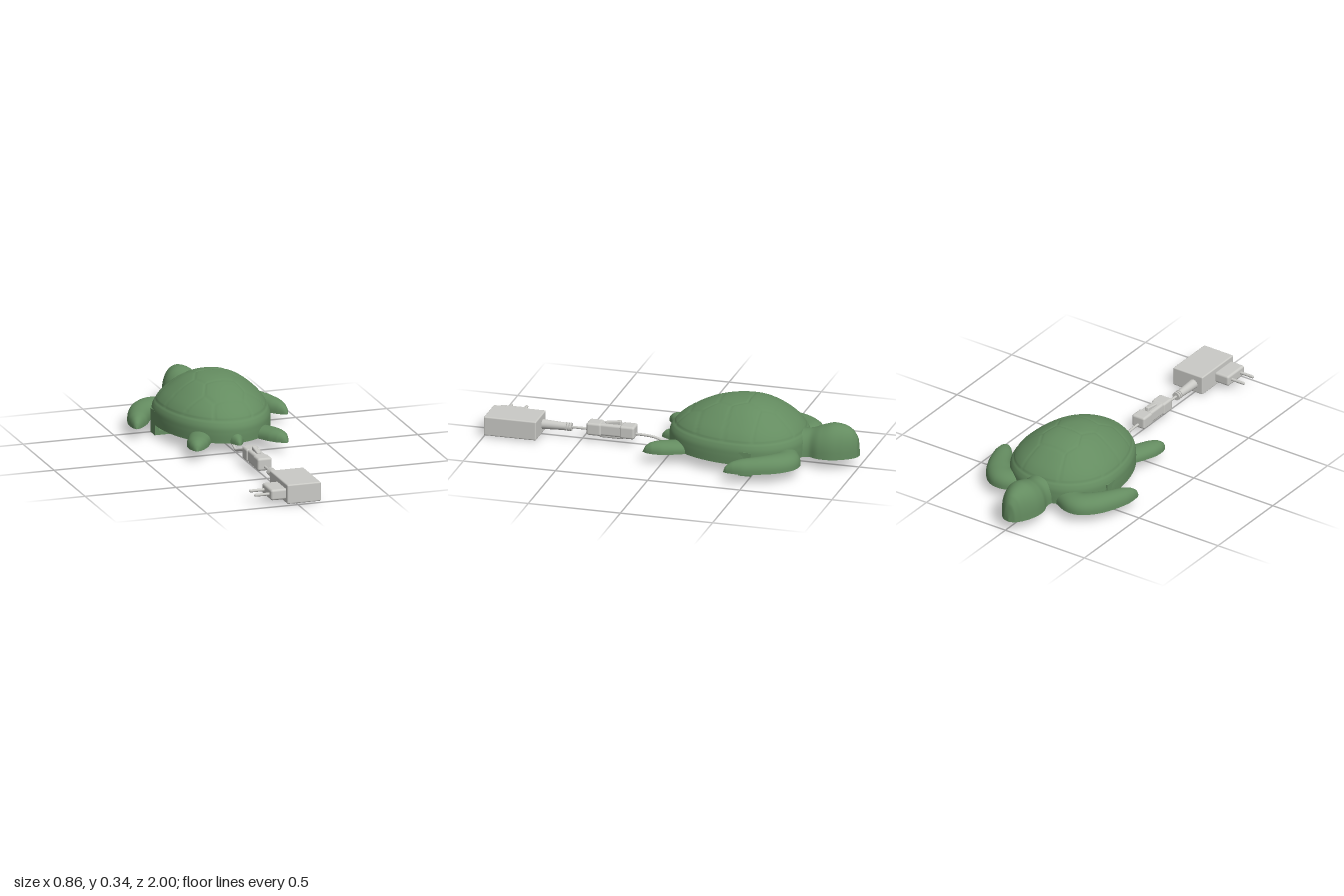
import * as THREE from 'three';
import { RoundedBoxGeometry } from 'three/addons/geometries/RoundedBoxGeometry.js';

const BASE = 0.06; // height of the open rim under the turtle

// Skin a grid of rings; wrap joins the end of each ring to its start
function skin(rings, wrap) {
  const n = rings[0].length, pos = [], idx = [];
  rings.forEach(r => r.forEach(p => pos.push(p[0], p[1], p[2])));
  for (let i = 0; i < rings.length - 1; i++)
    for (let j = 0; j < (wrap ? n : n - 1); j++) {
      const a = i * n + j, b = i * n + (j + 1) % n;
      idx.push(a, a + n, b, b, a + n, b + n);
    }
  const g = new THREE.BufferGeometry();
  g.setAttribute('position', new THREE.Float32BufferAttribute(pos, 3));
  g.setIndex(idx);
  g.computeVertexNormals();
  return g;
}

// Hollow limb: arched sections along a spine of [x, z, halfWidth, height]
function limb(stations, side = 1) {
  const spine = new THREE.CatmullRomCurve3(stations.map(s => new THREE.Vector3(s[0] * side, 0, s[1])), false, 'centripetal');
  const size = new THREE.CatmullRomCurve3(stations.map(s => new THREE.Vector3(s[2], s[3], 0)), false, 'centripetal');
  const rings = [], N = 48, A = 24;
  for (let i = 0; i <= N; i++) {
    const t = i / N, p = spine.getPoint(t), d = spine.getTangent(t), s = size.getPoint(t);
    const w = Math.max(s.x, 0), h = Math.max(s.y, 0), ring = [];
    for (let j = 0; j <= A; j++) {
      const a = Math.PI * j / A, c = Math.cos(a) * w;
      ring.push([p.x + d.z * c, BASE + h * Math.pow(Math.max(Math.sin(a), 0), 0.75), p.z - d.x * c]);
    }
    rings.push(side > 0 ? ring : ring.reverse());
  }
  return skin(rings, false);
}

// Egg-shaped dome with shallow grooves between the scutes
function shellGeometry() {
  const profile = new THREE.SplineCurve([
    [0, 0.338], [0.2, 0.333], [0.4, 0.314], [0.58, 0.284], [0.77, 0.238],
    [0.89, 0.198], [0.98, 0.15], [1, 0.11], [1, BASE],
  ].map(p => new THREE.Vector2(...p)));
  const seeds = [];
  for (const z of [-0.64, -0.5, -0.34, -0.18, -0.03]) seeds.push([0, z]);
  for (const z of [-0.58, -0.42, -0.26, -0.1]) seeds.push([0.19, z], [-0.19, z]);
  const rings = [], N = 72, A = 180;
  for (let i = 0; i <= N; i++) {
    const p = profile.getPoint(i / N), ring = [];
    const s = Math.max(p.x, 0);
    for (let j = 0; j < A; j++) {
      const a = j / A * Math.PI * 2, c = Math.cos(a), sn = Math.sin(a);
      const x = 0.3 * s * Math.sign(sn) * Math.pow(Math.abs(sn), c < 0 ? 0.9 : 1);
      const z = -0.43 + 0.03 * (1 - s) + s * c * (c > 0 ? 0.45 : 0.295);
      const d = seeds.map(q => Math.hypot(x - q[0], z - q[1])).sort((u, v) => u - v);
      const edge = p.y > 0.175 ? Math.min((d[1] - d[0]) / 2, Math.abs(p.y - 0.175)) : Math.abs(p.y - 0.175);
      const dip = 0.004 * Math.max(0, 1 - edge / 0.008);
      const k = 1 - dip * s * 3;
      ring.push([x * k, p.y - dip * (1 - s * 0.7), -0.43 + (z + 0.43) * k]);
    }
    rings.push(ring);
  }
  return skin(rings, true);
}

export function createModel() {
  const model = new THREE.Group();
  const green = new THREE.MeshStandardMaterial({ color: 0x648c60, side: THREE.DoubleSide });
  green.name = 'turtle green';
  const grey = new THREE.MeshStandardMaterial({ color: 0xcacac6 });
  grey.name = 'light grey';

  const add = (name, geo, mat, x = 0, y = 0, z = 0, parent = model) => {
    const m = new THREE.Mesh(geo, mat);
    m.name = name;
    m.position.set(x, y, z);
    parent.add(m);
    return m;
  };
  const group = name => {
    const g = new THREE.Group();
    g.name = name;
    model.add(g);
    return g;
  };
  const rod = (r1, r2, len) => new THREE.CylinderGeometry(r1, r2, len, 24).rotateX(Math.PI / 2);

  // Turtle
  const turtle = group('turtle');
  add('shell', shellGeometry(), green, 0, 0, 0, turtle);
  add('head', limb([
    [0, -0.64, 0.12, 0.13], [-0.005, -0.7, 0.095, 0.125], [-0.007, -0.745, 0.084, 0.13], [-0.007, -0.8, 0.102, 0.152],
    [-0.008, -0.86, 0.103, 0.169], [-0.012, -0.92, 0.085, 0.163], [-0.016, -0.965, 0.058, 0.138],
    [-0.019, -0.99, 0.032, 0.095], [-0.02, -1, 0, 0],
  ]), green, 0, 0, 0, turtle);
  add('tail', limb([
    [0, -0.04, 0.05, 0.05], [0, 0.02, 0.035, 0.048], [0, 0.05, 0.02, 0.035], [0, 0.066, 0.008, 0.015], [0, 0.07, 0, 0],
  ]), green, 0, 0, 0, turtle);
  for (const side of [1, -1]) {
    const label = side > 0 ? 'left' : 'right';
    add(label + 'FrontFlipper', limb([
      [0.14, -0.64, 0.07, 0.07], [0.235, -0.668, 0.077, 0.075], [0.29, -0.63, 0.074, 0.076], [0.335, -0.57, 0.064, 0.074],
      [0.378, -0.475, 0.052, 0.066], [0.398, -0.425, 0.034, 0.053], [0.41, -0.395, 0.016, 0.03], [0.415, -0.383, 0, 0],
    ], side), green, 0, 0, 0, turtle);
    add(label + 'RearFlipper', limb([
      [0.14, -0.13, 0.065, 0.05], [0.185, -0.05, 0.062, 0.055], [0.215, 0.015, 0.056, 0.056], [0.233, 0.06, 0.04, 0.049],
      [0.243, 0.088, 0.02, 0.03], [0.248, 0.102, 0, 0],
    ], side), green, 0, 0, 0, turtle);
  }

  // Lamp bracket: slotted disc, crossbar and posts
  const bracket = group('lampBracket');
  const disc = new THREE.Shape().absarc(0, 0, 0.17, 0, Math.PI * 2);
  for (const x of [-0.07, 0, 0.07])
    for (const y of [-0.06, 0.06]) {
      const slot = new THREE.Path();
      slot.moveTo(x - 0.005, y - 0.025).lineTo(x - 0.005, y + 0.025).lineTo(x + 0.005, y + 0.025).lineTo(x + 0.005, y - 0.025).closePath();
      disc.holes.push(slot);
    }
  const discGeo = new THREE.ExtrudeGeometry(disc, { depth: 0.023, bevelEnabled: false, curveSegments: 32 });
  add('bracketDisc', discGeo.rotateX(-Math.PI / 2), green, 0, 0.003, -0.4, bracket);
  for (const side of [1, -1]) {
    add('bracketArm', new THREE.BoxGeometry(0.15, 0.023, 0.07), green, side * 0.224, 0.0145, -0.465, bracket);
    add('bracketPost', new THREE.BoxGeometry(0.022, 0.13, 0.07), green, side * 0.288, 0.068, -0.465, bracket);
    const brace = add('bracketBrace', new THREE.BoxGeometry(0.01, 0.075, 0.012), green, side * 0.258, 0.055, -0.465, bracket);
    brace.rotation.z = side * -0.2;
  }
  add('lampBody', new THREE.CylinderGeometry(0.1, 0.1, 0.032, 40), grey, 0, 0.042, -0.345, bracket);
  add('lampSocket', rod(0.018, 0.02, 0.13), grey, 0, 0.042, -0.18, bracket);

  // Power lead with inline switch
  const lead = group('powerLead');
  const cable = pts => new THREE.TubeGeometry(new THREE.CatmullRomCurve3(pts.map(p => new THREE.Vector3(0, p[0], p[1]))), 48, 0.007, 10);
  add('lampCable', cable([[0.042, -0.13], [0.044, -0.09], [0.03, -0.04], [0.018, 0], [0.035, 0.06], [0.052, 0.12], [0.058, 0.24]]), grey, 0, 0, 0, lead);
  add('adapterCable', cable([[0.058, 0.44], [0.058, 0.6]]), grey, 0, 0, 0, lead);
  add('switchMiddle', new RoundedBoxGeometry(0.066, 0.064, 0.2, 3, 0.012), grey, 0, 0.07, 0.34, lead);
  for (const z of [0.25, 0.43])
    add('switchEnd', new RoundedBoxGeometry(0.08, 0.068, 0.08, 3, 0.012), grey, 0, 0.07, z, lead);
  add('switchUnderside', new RoundedBoxGeometry(0.05, 0.03, 0.13, 2, 0.008), grey, 0, 0.041, 0.34, lead);
  const rocker = add('switchRocker', new RoundedBoxGeometry(0.024, 0.025, 0.085, 3, 0.006), grey, 0, 0.104, 0.33, lead);
  rocker.rotation.x = 0.15;
  for (const z of [0.562, 0.576, 0.59])
    add('strainReliefRing', rod(0.022, 0.022, 0.009), grey, 0, 0.058, z, lead);
  add('leadPlug', rod(0.026, 0.02, 0.13), grey, 0, 0.058, 0.655, lead);

  // Wall adapter with plug block and two pins
  const adapter = group('wallAdapter');
  add('adapterBody', new RoundedBoxGeometry(0.186, 0.104, 0.284, 3, 0.007), grey, 0.035, 0.062, 0.858, adapter);
  add('plugBlock', new RoundedBoxGeometry(0.09, 0.058, 0.15, 3, 0.012), grey, -0.096, 0.06, 0.907, adapter);
  for (const z of [0.866, 0.948]) {
    const pin = new THREE.CapsuleGeometry(0.008, 0.075, 4, 12).rotateZ(Math.PI / 2);
    add('plugPin', pin, grey, -0.177, 0.06, z, adapter);
  }
  return model;
}
